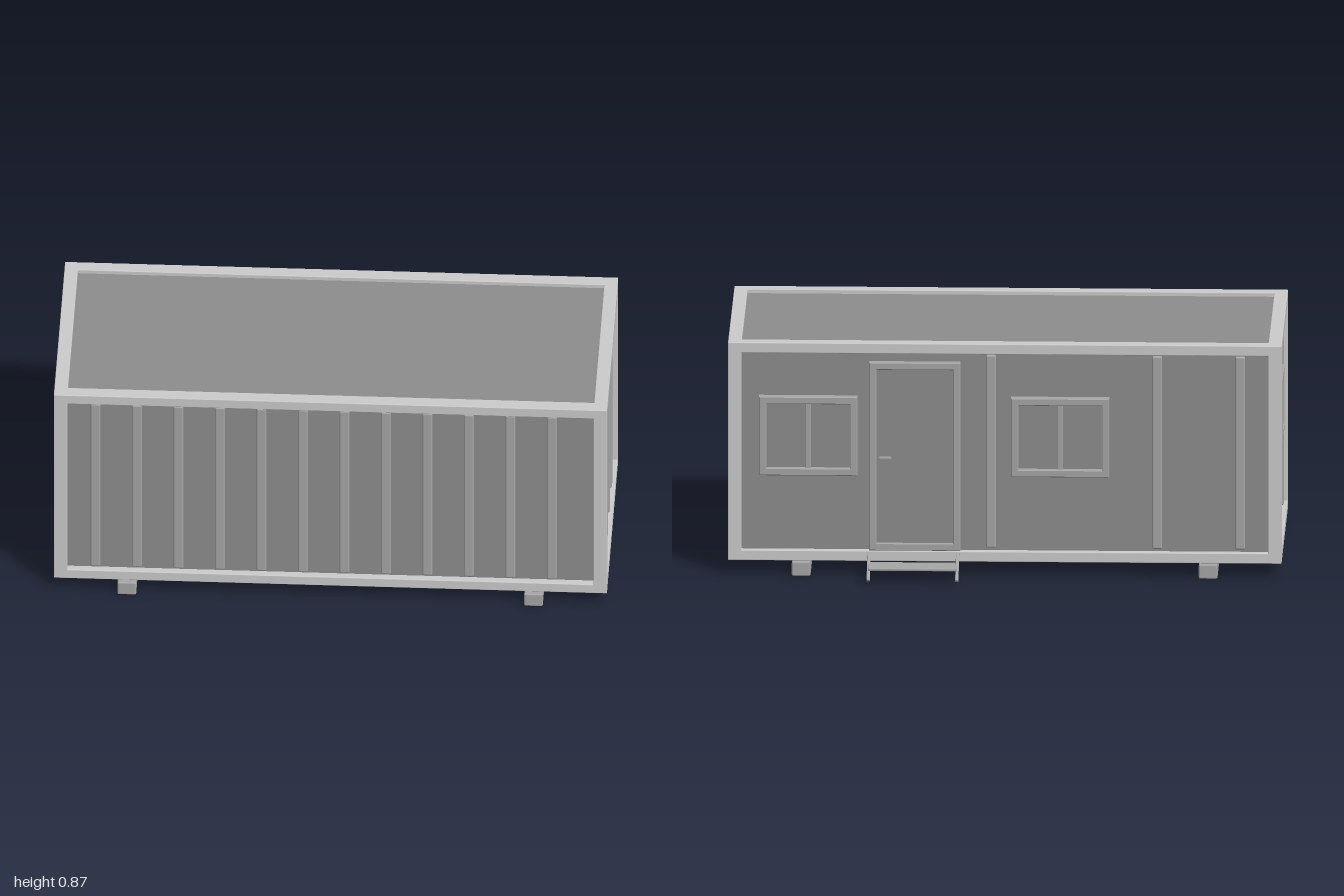
import * as THREE from 'three';
import { RoundedBoxGeometry } from 'three/addons/geometries/RoundedBoxGeometry.js';

// Light frame, dark panels, mid grey for trim
const LIGHT = new THREE.MeshStandardMaterial({ color: 0xcacaca });
const DARK = new THREE.MeshStandardMaterial({ color: 0x8d8d8d });
const MID = new THREE.MeshStandardMaterial({ color: 0xa6a6a6 });

// Main dimensions of the cabin
const X = 1, Y0 = 0.054, Y1 = 0.865, Z0 = -0.363, Z1 = 0.468;
const POST = 0.049, BEAM = 0.038, RECESS = 0.026;

// Box given by its limits on each axis, with an optional softened edge
function box(parent, name, material, [x0, x1], [y0, y1], [z0, z1], bevel = 0) {
  const w = x1 - x0, h = y1 - y0, d = z1 - z0;
  const geo = bevel ? new RoundedBoxGeometry(w, h, d, 2, bevel) : new THREE.BoxGeometry(w, h, d);
  const mesh = new THREE.Mesh(geo, material);
  mesh.name = name;
  mesh.position.set((x0 + x1) / 2, (y0 + y1) / 2, (z0 + z1) / 2);
  parent.add(mesh);
  return mesh;
}

// Rectangular surround with a hole, in the XY plane, facing +z from z = 0
function surround(parent, name, w, h, border, depth) {
  const rect = (s, a, b) => s.moveTo(-a, -b).lineTo(a, -b).lineTo(a, b).lineTo(-a, b).closePath();
  const bevel = 0.003;
  const shape = rect(new THREE.Shape(), w / 2 - bevel, h / 2 - bevel);
  shape.holes.push(rect(new THREE.Path(), w / 2 - border, h / 2 - border));
  const geo = new THREE.ExtrudeGeometry(shape, {
    depth: depth - bevel, bevelEnabled: true, bevelSize: bevel, bevelThickness: bevel, bevelSegments: 1,
  });
  const mesh = new THREE.Mesh(geo, MID);
  mesh.name = name;
  parent.add(mesh);
}

// Window built facing +z: surround, glass and optional centre bar
function makeWindow(name, w, h, depth, bar) {
  const g = new THREE.Group();
  g.name = name;
  surround(g, 'windowFrame', w, h, 0.024, depth);
  box(g, 'glass', DARK, [-w / 2 + 0.02, w / 2 - 0.02], [-h / 2 + 0.02, h / 2 - 0.02], [0, 0.01]);
  if (bar) box(g, 'windowBar', MID, [-0.01, 0.01], [-h / 2 + 0.02, h / 2 - 0.02], [0, 0.02], 0.003);
  return g;
}

export function createModel() {
  const model = new THREE.Group();
  model.name = 'siteCabin';

  // Steel frame: corner posts and the beams between them
  const frame = new THREE.Group();
  frame.name = 'frame';
  model.add(frame);
  const zEnds = [[Z0, Z0 + POST], [Z1 - POST, Z1]];
  const xEnds = [[-X, -X + POST], [X - POST, X]];
  const yEnds = [[Y0, Y0 + BEAM], [Y1 - BEAM, Y1]];
  for (const x of xEnds) for (const z of zEnds) box(frame, 'cornerPost', LIGHT, x, [Y0, Y1], z, 0.003);
  for (const y of yEnds) {
    for (const z of zEnds) box(frame, 'longBeam', LIGHT, [-X + 0.01, X - 0.01], y, z, 0.003);
    for (const x of xEnds) box(frame, 'endBeam', LIGHT, x, y, [Z0 + 0.01, Z1 - 0.01], 0.003);
  }

  // Walls, roof and floor, set back inside the frame
  const fx = [-X + RECESS, X - RECESS], fy = [Y0 + 0.02, Y1 - 0.02], fz = [Z0 + RECESS, Z1 - RECESS];
  const T = 0.02;
  box(model, 'frontWall', DARK, fx, fy, [fz[1] - T, fz[1]]);
  box(model, 'backWall', DARK, fx, fy, [fz[0], fz[0] + T]);
  box(model, 'rightWall', DARK, [fx[0], fx[0] + T], fy, fz);
  box(model, 'leftWall', DARK, [fx[1] - T, fx[1]], fy, fz);
  box(model, 'roof', DARK, fx, [Y1 - 0.035, Y1 - 0.015], fz);
  box(model, 'floor', DARK, fx, [Y0 + 0.022, Y0 + 0.036], fz);

  // Vertical ribs on the walls
  const ribs = new THREE.Group();
  ribs.name = 'wallRibs';
  model.add(ribs);
  const ribY = [0.103, 0.82], R = 0.018, OUT = 0.015;
  const xRib = (x, z) => box(ribs, 'rib', MID, [x - R, x + R], ribY, [z - OUT, z + OUT], 0.006);
  const zRib = (z, x) => box(ribs, 'rib', MID, [x - OUT, x + OUT], ribY, [z - R, z + R], 0.006);
  for (let i = 0; i < 12; i++) xRib(-0.85 + i * 0.15, fz[1]);
  for (const x of [0.05, -0.55, -0.85]) xRib(x, fz[0]);
  for (let i = 0; i < 4; i++) zRib(-0.134 + i * 0.151, fx[1]);
  for (const z of [-0.134, 0.319]) zRib(z, fx[0]);

  // Two back windows and one small end window
  for (const x of [0.71, -0.2]) {
    const win = makeWindow('backWindow', 0.355, 0.293, RECESS + 0.004, true);
    win.position.set(x, 0.518, fz[0]);
    win.rotation.y = Math.PI;
    model.add(win);
  }
  const endWindow = makeWindow('endWindow', 0.22, 0.24, 0.022, false);
  endWindow.position.set(fx[0], 0.545, 0.05);
  endWindow.rotation.y = -Math.PI / 2;
  model.add(endWindow);

  // Door with surround and lever handle
  const door = new THREE.Group();
  door.name = 'door';
  door.position.set(0.325, 0.443, fz[0]);
  door.rotation.y = Math.PI;
  model.add(door);
  surround(door, 'doorFrame', 0.33, 0.7, 0.024, RECESS - 0.002);
  box(door, 'doorPanel', DARK, [-0.143, 0.143], [-0.33, 0.33], [0, 0.013]);
  box(door, 'handleStem', MID, [-0.127, -0.117], [-0.012, -0.002], [0.01, 0.022]);
  box(door, 'doorHandle', MID, [-0.13, -0.085], [-0.013, -0.001], [0.017, 0.025], 0.003);

  // Step: tread between two sloping side bars
  const step = new THREE.Group();
  step.name = 'entryStep';
  model.add(step);
  box(step, 'tread', MID, [0.17, 0.49], [0.047, 0.057], [-0.48, -0.385], 0.003);
  for (const x of [0.17, 0.49]) {
    const bar = box(step, 'sideBar', MID, [x - 0.006, x + 0.006], [0.043, 0.055], [-0.494, -0.356], 0.003);
    bar.rotation.x = -Math.atan2(0.075, 0.115);
  }

  // Ground skids running front to back
  for (const x of [-0.735, 0.735])
    box(model, 'skid', MID, [x - 0.034, x + 0.034], [0, Y0], [Z0 - 0.017, Z1 + 0.017], 0.006);

  return model;
}
